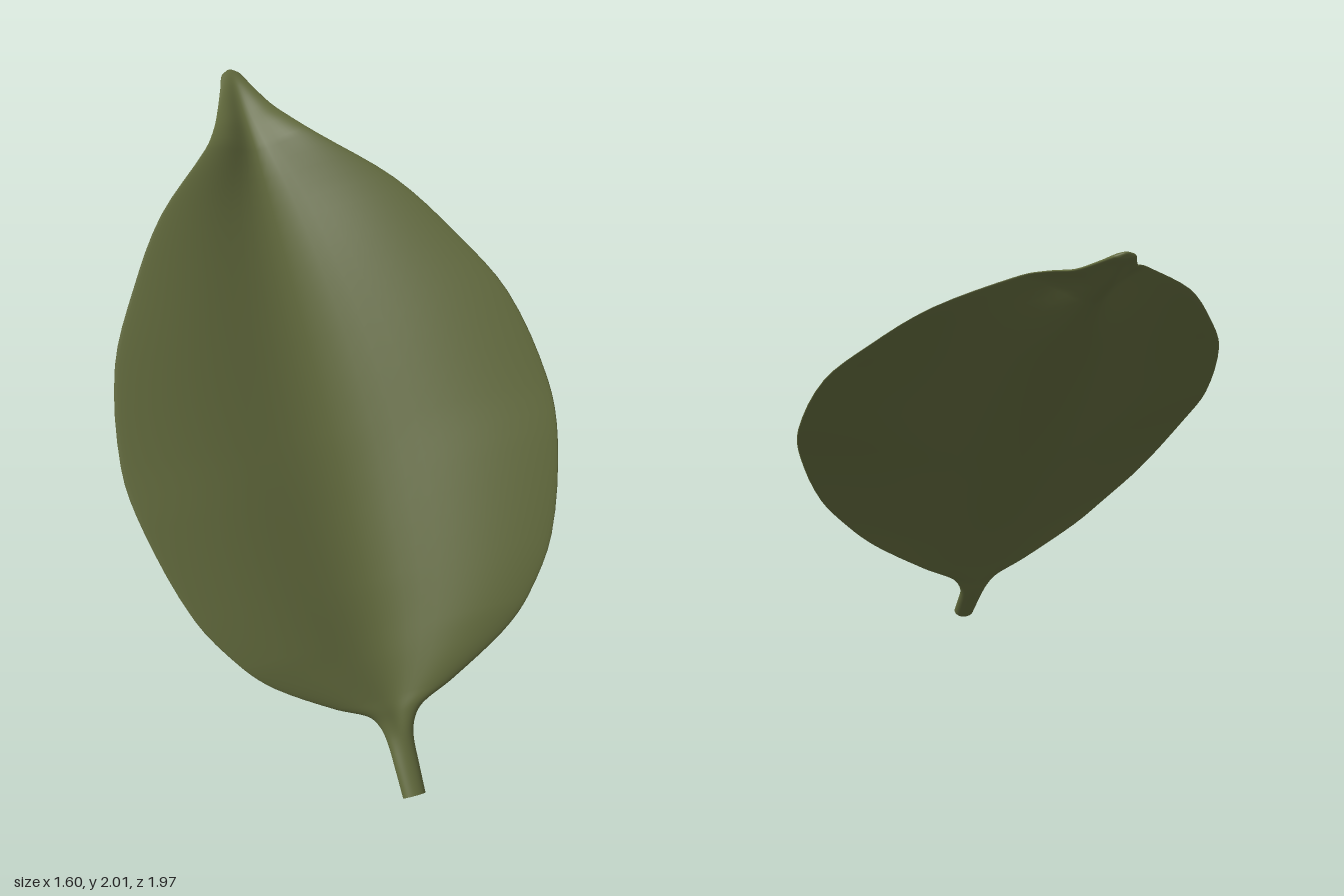
import * as THREE from 'three';

// Stations along the leaf: [distance, half width, midrib height, fold depth, half thickness]
const STATIONS = [
  [-0.95, 0.042, 0.70, 0, 0.031],
  [-0.80, 0.045, 0.705, 0, 0.031],
  [-0.66, 0.05, 0.71, 0, 0.03],
  [-0.57, 0.07, 0.714, 0.012, 0.028],
  [-0.51, 0.11, 0.72, 0.025, 0.025],
  [-0.44, 0.22, 0.725, 0.05, 0.022],
  [-0.27, 0.43, 0.74, 0.11, 0.018],
  [-0.13, 0.54, 0.748, 0.15, 0.016],
  [0.14, 0.67, 0.765, 0.183, 0.014],
  [0.60, 0.775, 0.783, 0.207, 0.013],
  [0.92, 0.8, 0.795, 0.199, 0.013],
  [1.41, 0.74, 0.805, 0.192, 0.013],
  [1.78, 0.61, 0.806, 0.17, 0.013],
  [2.14, 0.445, 0.797, 0.15, 0.013],
  [2.47, 0.215, 0.786, 0.112, 0.014],
  [2.60, 0.15, 0.77, 0.08, 0.015],
  [2.72, 0.105, 0.753, 0.042, 0.015],
  [2.865, 0.06, 0.74, 0.013, 0.014],
  [2.95, 0.035, 0.731, 0, 0.012],
  [2.975, 0.01, 0.729, 0, 0.005],
];

const SIDES = 64;
const STEPS = 4;

// Smooth interpolation between stations
function slope(i, k) {
  const a = STATIONS[Math.max(i - 1, 0)];
  const b = STATIONS[Math.min(i + 1, STATIONS.length - 1)];
  return (b[k] - a[k]) / (b[0] - a[0]);
}

function sample(i, f) {
  const a = STATIONS[i], b = STATIONS[i + 1];
  const d = b[0] - a[0], f2 = f * f, f3 = f2 * f;
  return a.map((v, k) => k === 0 ? v + d * f :
    (2 * f3 - 3 * f2 + 1) * v + (f3 - 2 * f2 + f) * d * slope(i, k) +
    (3 * f2 - 2 * f3) * b[k] + (f3 - f2) * d * slope(i + 1, k));
}

// Rounded valley: flat at the midrib, steep beside it, easing toward the rim
function fold(u) {
  const k = 0.35;
  return u * u * (1 + k) / (u * u + k);
}

// The leaf lies on a 45 degree slope, rising toward the back
function place(x, t, n) {
  const s = n * Math.SQRT2;
  return [x, (s + t) / 2, (s - t) / 2];
}

function ring([t, w, c, d, h]) {
  return Array.from({ length: SIDES }, (_, j) => {
    const a = j / SIDES * Math.PI * 2;
    const u = Math.cos(a);
    return place(w * u, t, c + d * fold(u) + h * Math.sin(a));
  });
}

function toGeometry(points, index) {
  const g = new THREE.BufferGeometry();
  g.setAttribute('position', new THREE.Float32BufferAttribute(points.flat(), 3));
  g.setIndex(index);
  g.computeVertexNormals();
  return g;
}

function bladeGeometry() {
  const rows = [];
  for (let i = 0; i < STATIONS.length - 1; i++)
    for (let s = 0; s < STEPS; s++) rows.push(sample(i, s / STEPS));
  rows.push(STATIONS.at(-1));
  const points = rows.flatMap(ring);
  const index = [];
  for (let i = 0; i < rows.length - 1; i++) {
    for (let j = 0; j < SIDES; j++) {
      const a = i * SIDES + j, b = i * SIDES + (j + 1) % SIDES;
      index.push(a, a + SIDES, b, b, a + SIDES, b + SIDES);
    }
  }
  // Close the tip
  const last = (rows.length - 1) * SIDES;
  const end = rows.at(-1);
  points.push(place(0, end[0] + 0.004, end[2]));
  for (let j = 0; j < SIDES; j++)
    index.push(points.length - 1, last + (j + 1) % SIDES, last + j);
  return toGeometry(points, index);
}

// Flat cut at the foot of the stalk
function stalkEndGeometry() {
  const first = STATIONS[0];
  const points = [...ring(first), place(0, first[0], first[2])];
  const index = [];
  for (let j = 0; j < SIDES; j++) index.push(SIDES, j, (j + 1) % SIDES);
  return toGeometry(points, index);
}

export function createModel() {
  const leafGreen = new THREE.MeshStandardMaterial({ color: 0x5f673b });
  leafGreen.name = 'leafGreen';

  const leaf = new THREE.Group();
  leaf.name = 'leaf';
  const parts = { leafBladeAndStalk: bladeGeometry(), stalkEnd: stalkEndGeometry() };
  for (const [name, geometry] of Object.entries(parts)) {
    const mesh = new THREE.Mesh(geometry, leafGreen);
    mesh.name = name;
    leaf.add(mesh);
  }
  return leaf;
}
